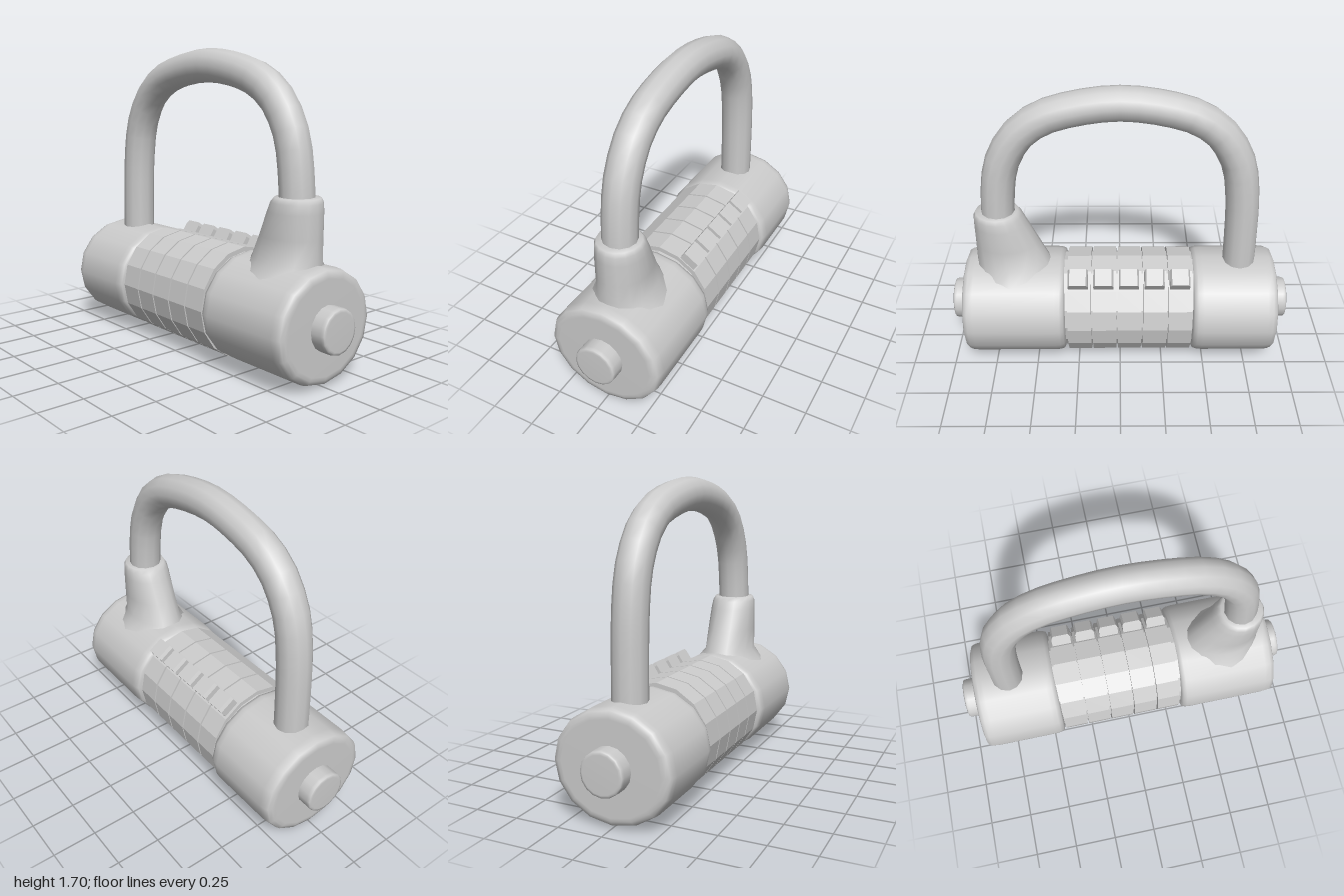
import * as THREE from 'three';

const AXIS_Y = 0.312;
const grey = new THREE.MeshStandardMaterial({ color: 0xcccccc });
const greyFlat = new THREE.MeshStandardMaterial({ color: 0xcccccc, flatShading: true });

function add(parent, name, geometry, material = grey) {
  const mesh = new THREE.Mesh(geometry, material);
  mesh.name = name;
  parent.add(mesh);
  return mesh;
}

// Solid with rounded rims, lying along z from z0 to z1
function roundedDrum(z0, z1, radius, bevel, sides) {
  const b = bevel;
  const half = [[0, 0], [radius - b * 1.6, 0], [radius - b, 0.003], [radius - b * 0.35, b * 0.35], [radius - b * 0.1, b], [radius, b * 2]];
  const points = [
    ...half.map(([r, d]) => new THREE.Vector2(r, z0 + d)),
    ...half.slice().reverse().map(([r, d]) => new THREE.Vector2(r, z1 - d)),
  ];
  return new THREE.LatheGeometry(points, sides).rotateX(Math.PI / 2);
}

// Rings stacked up y; each is [y, half width, back z, widest z, front z]
function loft(rings, sides) {
  const position = [], index = [];
  rings.forEach(([y, w, back, mid, front], i) => {
    for (let j = 0; j < sides; j++) {
      const a = (j / sides) * Math.PI * 2, c = Math.cos(a);
      position.push(w * Math.sin(a), y, mid + c * (c > 0 ? front - mid : mid - back));
      if (i === rings.length - 1) continue;
      const k = (j + 1) % sides, p = i * sides, q = p + sides;
      index.push(p + j, p + k, q + k, p + j, q + k, q + j);
    }
  });
  const g = new THREE.BufferGeometry();
  g.setAttribute('position', new THREE.Float32BufferAttribute(position, 3));
  g.setIndex(index);
  g.computeVertexNormals();
  return g;
}

// Box whose top narrows along z
function tabGeometry() {
  const g = new THREE.BoxGeometry(0.1, 0.1, 0.115, 1, 2, 1);
  const p = g.attributes.position;
  for (let i = 0; i < p.count; i++) {
    if (p.getY(i) > 0.04) p.setZ(i, p.getZ(i) * 0.82);
    else if (p.getY(i) > -0.01) p.setY(i, 0.03);
  }
  g.computeVertexNormals();
  return g;
}

export function createModel() {
  const model = new THREE.Group();
  model.name = 'combinationPadlock';

  // Body lying along z
  const body = new THREE.Group();
  body.name = 'body';
  body.position.y = AXIS_Y;
  model.add(body);
  add(body, 'frontCap', roundedDrum(0.32, 0.915, 0.303, 0.032, 16)).scale.x = 1.105;
  add(body, 'backCap', roundedDrum(-0.915, -0.42, 0.303, 0.032, 16)).scale.x = 1.105;
  add(body, 'frontPin', roundedDrum(0.85, 1, 0.12, 0.012, 16));
  add(body, 'backPin', roundedDrum(-1, -0.85, 0.12, 0.012, 16));
  add(body, 'core', new THREE.CylinderGeometry(0.285, 0.285, 0.8, 16).rotateX(Math.PI / 2).translate(0, 0, -0.05), greyFlat);

  // Five number dials, each with a raised tab
  const dialGeometry = new THREE.CylinderGeometry(0.311, 0.311, 0.137, 16).rotateX(Math.PI / 2);
  const tab = tabGeometry();
  for (let i = 0; i < 5; i++) {
    const dial = new THREE.Group();
    dial.name = `dial${i + 1}`;
    dial.position.z = 0.238 - i * 0.1465;
    body.add(dial);
    add(dial, 'dialRing', dialGeometry, greyFlat);
    const t = add(dial, 'dialTab', tab, greyFlat);
    const a = THREE.MathUtils.degToRad(56.25);
    t.position.set(0.325 * Math.cos(a), 0.325 * Math.sin(a), 0.005);
    t.rotation.z = a - Math.PI / 2;
  }

  // Shackle: one half of the centre line [z, y], mirrored over the top
  const half = [[0.7, 0.5], [0.698, 0.75], [0.686, 1.04], [0.655, 1.23], [0.605, 1.345], [0.535, 1.44], [0.415, 1.525], [0.22, 1.583]];
  const path = [
    ...half.map(([z, y]) => new THREE.Vector3(0, y, z)),
    new THREE.Vector3(0, 1.608, 0),
    ...half.slice().reverse().map(([z, y]) => new THREE.Vector3(0, y, -z)),
  ];
  add(model, 'shackle', new THREE.TubeGeometry(new THREE.CatmullRomCurve3(path), 32, 0.095, 12));

  // Tapered collar holding the front leg, flaring into the cap
  add(model, 'collar', loft([
    [0.52, 0.23, 0.37, 0.64, 0.845],
    [0.615, 0.147, 0.41, 0.64, 0.84],
    [0.74, 0.144, 0.472, 0.66, 0.838],
    [0.87, 0.138, 0.535, 0.68, 0.837],
    [0.92, 0.132, 0.558, 0.69, 0.834],
    [0.945, 0.12, 0.58, 0.695, 0.822],
    [0.947, 0.08, 0.62, 0.7, 0.78],
  ], 16));

  return model;
}
